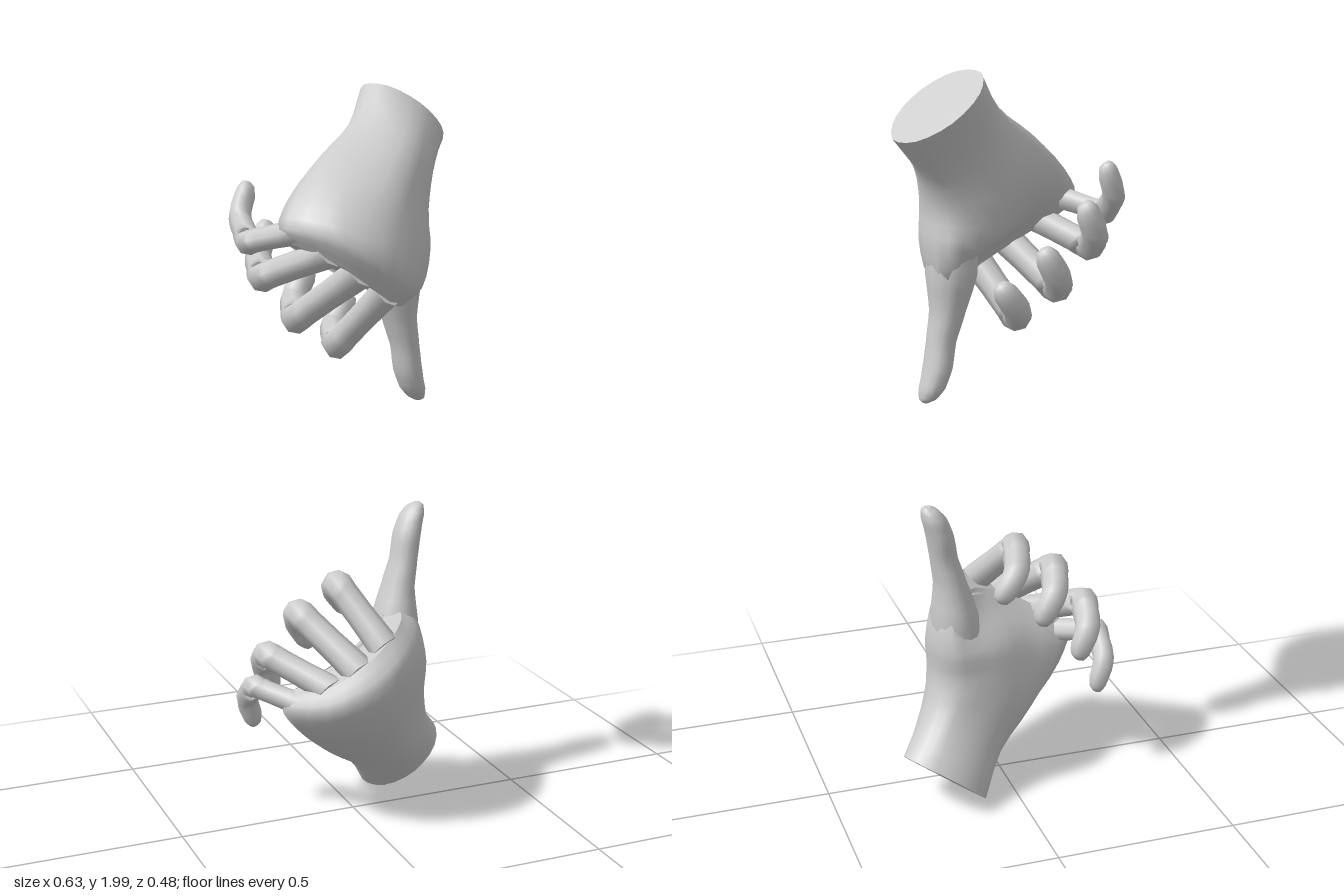
import * as THREE from 'three';

const V = (x, y, z) => new THREE.Vector3(x, y, z);
const material = new THREE.MeshStandardMaterial({ color: 0xcccccc });
const ACROSS = V(0.81, 0.57, 0.1).normalize(); // from little finger towards thumb

// Closed skin over a list of rings of points, with flat caps
function skin(rings) {
  const sides = rings[0].length;
  const n = rings.length - 1;
  const pos = rings.flat().flatMap((p) => p.toArray());
  const index = [];
  for (let i = 0; i < n; i++) {
    for (let j = 0; j < sides; j++) {
      const a = i * sides + j;
      const b = i * sides + ((j + 1) % sides);
      index.push(a, b, b + sides, a, b + sides, a + sides);
    }
  }
  for (const end of [0, n]) {
    const base = pos.length / 3;
    const centre = V(0, 0, 0);
    for (const p of rings[end]) {
      pos.push(p.x, p.y, p.z);
      centre.addScaledVector(p, 1 / sides);
    }
    pos.push(centre.x, centre.y, centre.z);
    for (let j = 0; j < sides; j++) {
      const a = base + j;
      const b = base + ((j + 1) % sides);
      index.push(base + sides, ...(end ? [a, b] : [b, a]));
    }
  }
  const g = new THREE.BufferGeometry();
  g.setAttribute('position', new THREE.Float32BufferAttribute(pos, 3));
  g.setIndex(index);
  g.computeVertexNormals();
  return g;
}

// Elliptical sections along a curve. Row: [x, y, z, halfWidth, halfDepth].
function limb(rows, side, sides, steps) {
  const curve = new THREE.CatmullRomCurve3(rows.map((r) => V(r[0], r[1], r[2])));
  const n = (rows.length - 1) * steps;
  const rings = [];
  for (let i = 0; i <= n; i++) {
    const k = Math.min(Math.floor(i / steps), rows.length - 2);
    const mix = (c) => THREE.MathUtils.lerp(rows[k][c], rows[k + 1][c], i / steps - k);
    const centre = curve.getPoint(i / n);
    const depth = curve.getTangent(i / n).cross(side).normalize();
    rings.push(Array.from({ length: sides }, (_, j) => {
      const a = (j / sides) * Math.PI * 2;
      return centre.clone().addScaledVector(side, mix(3) * Math.cos(a)).addScaledVector(depth, mix(4) * Math.sin(a));
    }));
  }
  return skin(rings);
}

// Wrist, palm and thumb mound: sections from wrist to knuckles, each running
// little-finger edge, back of hand, thumb edge, then the palm side
function palm() {
  const sections = [
    [0.097, 0.01, -0.161, 0.138, 0.012, -0.094, 0.217, 0.057, -0.057, 0.288, 0.118, -0.075,
      0.313, 0.162, -0.135, 0.275, 0.16, -0.203, 0.193, 0.115, -0.239, 0.12, 0.051, -0.222],
    [0.03, 0.105, -0.09, 0.08, 0.11, 0, 0.15, 0.15, 0.055, 0.215, 0.215, 0.03,
      0.235, 0.26, -0.07, 0.2, 0.27, -0.14, 0.12, 0.24, -0.155, 0.05, 0.16, -0.145],
    [-0.08, 0.185, -0.02, -0.02, 0.2, 0.075, 0.07, 0.25, 0.14, 0.17, 0.31, 0.085,
      0.213, 0.35, -0.02, 0.17, 0.36, -0.125, 0.06, 0.36, -0.14, -0.03, 0.28, -0.115],
    [-0.19, 0.29, 0.03, -0.12, 0.29, 0.145, 0, 0.34, 0.205, 0.12, 0.4, 0.16,
      0.215, 0.44, 0, 0.175, 0.45, -0.135, 0.06, 0.44, -0.12, -0.08, 0.38, -0.02],
    [-0.235, 0.365, 0.07, -0.15, 0.375, 0.19, -0.03, 0.435, 0.24, 0.075, 0.5, 0.205,
      0.19, 0.54, 0, 0.165, 0.55, -0.1, 0.08, 0.5, -0.03, -0.08, 0.45, 0.06],
    [-0.215, 0.4, 0.075, -0.135, 0.435, 0.165, -0.035, 0.505, 0.2, 0.05, 0.56, 0.165,
      0.13, 0.57, 0.03, 0.13, 0.57, -0.04, 0.05, 0.545, 0.06, -0.08, 0.485, 0.1],
  ];
  const points = sections.map((s) => Array.from({ length: 8 }, (_, j) => V(s[j * 3], s[j * 3 + 1], s[j * 3 + 2])));
  const columns = points[0].map((_, j) => new THREE.CatmullRomCurve3(points.map((ring) => ring[j])));
  const along = 15;
  const around = 24;
  return skin(Array.from({ length: along + 1 }, (_, i) => {
    const loop = new THREE.CatmullRomCurve3(columns.map((c) => c.getPoint(i / along)), true);
    return Array.from({ length: around }, (_, j) => loop.getPoint(j / around));
  }));
}

function thumb() {
  return limb([
    [0.14, 0.43, -0.045, 0.065, 0.08],
    [0.143, 0.53, -0.045, 0.065, 0.08],
    [0.155, 0.62, -0.05, 0.046, 0.06],
    [0.174, 0.7, -0.053, 0.038, 0.05],
    [0.187, 0.77, -0.06, 0.038, 0.052],
    [0.204, 0.82, -0.066, 0.034, 0.044],
    [0.216, 0.846, -0.068, 0.022, 0.028],
    [0.221, 0.855, -0.069, 0.008, 0.01],
  ], V(1, 0, 0), 16, 3);
}

// Curled finger through knuckle, two joints and tip
function finger(joints, r) {
  const [knuckle, middle, last, tip] = joints.map((p) => V(...p));
  const at = (a, b, t) => a.clone().lerp(b, t);
  const stations = [
    [knuckle, 1.15], [at(knuckle, middle, 0.5), 1.05], [at(knuckle, middle, 0.85), 1.05],
    [middle, 1.1], [at(middle, last, 0.3), 1.03], [at(middle, last, 0.85), 1],
    [at(last, tip, 0.25), 0.97], [at(last, tip, 0.85), 0.88],
    [at(last, tip, 1.15), 0.6], [at(last, tip, 1.25), 0.15],
  ];
  return limb(stations.map(([p, s]) => [p.x, p.y, p.z, r * s, r * s]), ACROSS, 8, 2);
}

function mirrorUp(geometry) {
  const g = geometry.clone().scale(1, -1, 1).translate(0, 2, 0);
  const ix = g.index.array;
  for (let i = 0; i < ix.length; i += 3) [ix[i], ix[i + 1]] = [ix[i + 1], ix[i]];
  return g;
}

export function createModel() {
  const parts = {
    palm: palm(),
    thumb: thumb(),
    indexFinger: finger([[0.025, 0.525, 0.16], [-0.055, 0.672, 0.022], [-0.03, 0.632, -0.068], [0.015, 0.57, -0.078]], 0.037),
    middleFinger: finger([[-0.05, 0.47, 0.17], [-0.163, 0.6, 0.008], [-0.14, 0.555, -0.07], [-0.1, 0.488, -0.078]], 0.038),
    ringFinger: finger([[-0.12, 0.42, 0.14], [-0.25, 0.49, -0.004], [-0.236, 0.44, -0.08], [-0.205, 0.373, -0.088]], 0.037),
    littleFinger: finger([[-0.185, 0.37, 0.09], [-0.284, 0.4, -0.015], [-0.282, 0.34, -0.09], [-0.255, 0.272, -0.1]], 0.032),
  };
  const model = new THREE.Group();
  model.name = 'pairOfHands';
  for (const [handName, shape] of [['thumbUpHand', (g) => g], ['thumbDownHand', mirrorUp]]) {
    const hand = new THREE.Group();
    hand.name = handName;
    for (const [name, geometry] of Object.entries(parts)) {
      const mesh = new THREE.Mesh(shape(geometry), material);
      mesh.name = name;
      hand.add(mesh);
    }
    model.add(hand);
  }
  return model;
}
